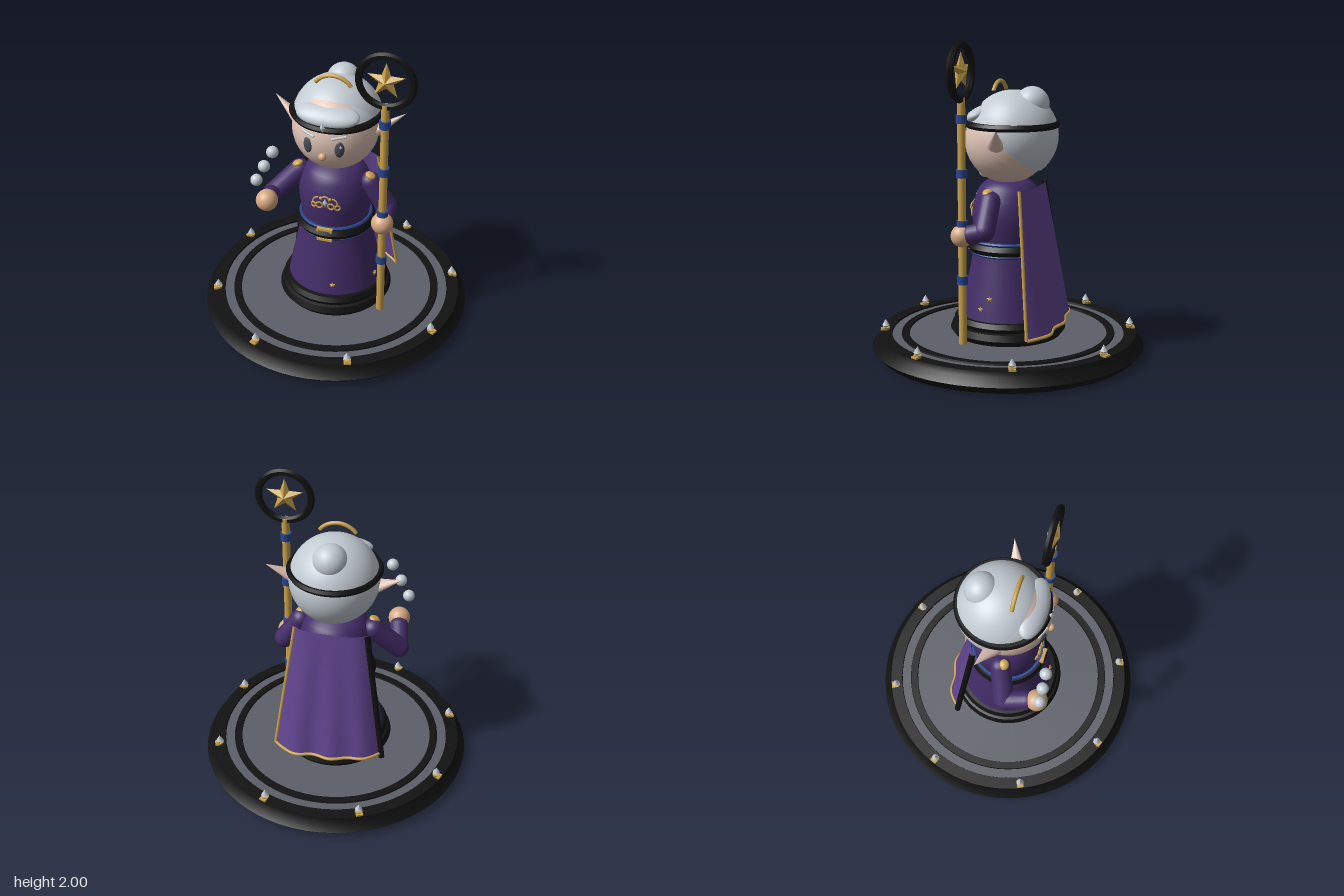
import * as THREE from 'three';
import { toCreasedNormals } from 'three/addons/utils/BufferGeometryUtils.js';

const mat = (name, color, side = THREE.FrontSide) => {
  const m = new THREE.MeshStandardMaterial({ color, side });
  m.name = name;
  return m;
};
const V = (x, y, z) => new THREE.Vector3(x, y, z);

export function createModel() {
  const M = {
    black: mat('black trim', 0x111111),
    stone: mat('stone grey', 0x5c5f68),
    robe: mat('robe purple', 0x432d68),
    cape: mat('cape purple', 0x61458f, THREE.DoubleSide),
    gold: mat('gold', 0xcaa24a),
    silver: mat('silver', 0xc3cbd3),
    skin: mat('skin', 0xe0c3b5),
    tan: mat('hand tan', 0xd6a982),
    blue: mat('blue', 0x2a4690),
    eye: mat('eye grey', 0x4a4d55),
  };
  const root = new THREE.Group();
  const add = (name, geo, m, x = 0, y = 0, z = 0, parent = root) => {
    const mesh = new THREE.Mesh(geo, m);
    mesh.name = name;
    mesh.position.set(x, y, z);
    parent.add(mesh);
    return mesh;
  };
  const ball = (name, r, m, x, y, z, sx = 1, sy = 1, sz = 1) => {
    const b = add(name, new THREE.SphereGeometry(r, 32, 20), m, x, y, z);
    b.scale.set(sx, sy, sz);
    return b;
  };
  const lathe = (name, pts, m, crease = 0.5) => add(name, toCreasedNormals(
    new THREE.LatheGeometry(pts.map(p => new THREE.Vector2(...p)), 64), crease), m);
  // six-sided ring lying flat
  const hoop = (name, r, t, m, y, z = 0, sy = 1) => {
    const h = add(name, toCreasedNormals(new THREE.TorusGeometry(r, t, 6, 64), 0.6), m, 0, y, z);
    h.rotation.x = Math.PI / 2;
    h.scale.z = sy;
    return h;
  };
  // capsule between two points
  const limb = (name, a, b, r, m) => {
    const d = b.clone().sub(a);
    const c = add(name, new THREE.CapsuleGeometry(r, d.length(), 8, 20), m);
    c.position.copy(a).add(b).multiplyScalar(0.5);
    c.quaternion.setFromUnitVectors(V(0, 1, 0), d.normalize());
    return c;
  };
  // faceted star: a rim of ten points joined to a front and a back peak
  const starGeo = (R, r, depth) => {
    const pos = [];
    const p = i => {
      const a = Math.PI / 2 + i * Math.PI / 5, q = i % 2 ? r : R;
      return [Math.cos(a) * q, Math.sin(a) * q, 0];
    };
    for (let i = 0; i < 10; i++) {
      pos.push(...p(i), ...p(i + 1), 0, 0, depth);
      pos.push(...p(i + 1), ...p(i), 0, 0, -depth);
    }
    const g = new THREE.BufferGeometry();
    g.setAttribute('position', new THREE.Float32BufferAttribute(pos, 3));
    g.computeVertexNormals();
    return g;
  };
  const gemGeo = new THREE.OctahedronGeometry(1);

  // plinth
  add('plinthCore', new THREE.CylinderGeometry(0.825, 0.83, 0.118, 64), M.stone, 0, 0.059, 0);
  lathe('plinthRim', [[0.83, 0], [0.875, 0.05], [0.832, 0.1], [0.825, 0.13], [0.75, 0.13], [0.745, 0.112]], M.black);
  lathe('plinthInnerRing', [[0.69, 0.112], [0.685, 0.128], [0.64, 0.128], [0.635, 0.112]], M.black);

  // eight gems around the rim
  for (let i = 0; i < 8; i++) {
    const g = new THREE.Group();
    g.name = 'rimGem';
    g.rotation.y = Math.PI / 8 + i * Math.PI / 4;
    root.add(g);
    add('gemCup', new THREE.CylinderGeometry(0.026, 0.02, 0.02, 8), M.gold, 0, 0.138, 0.79, g);
    add('gemLip', new THREE.BoxGeometry(0.045, 0.02, 0.025), M.gold, 0, 0.132, 0.81, g);
    add('gemLower', new THREE.ConeGeometry(0.025, 0.022, 6).rotateX(Math.PI), M.silver, 0, 0.15, 0.79, g);
    add('gemUpper', new THREE.ConeGeometry(0.025, 0.042, 6), M.silver, 0, 0.182, 0.79, g);
  }

  // robe
  lathe('hem', [[0.34, 0.115], [0.37, 0.155], [0.355, 0.195], [0.335, 0.2], [0.345, 0.225], [0.328, 0.255], [0.29, 0.258]], M.black);
  lathe('skirt', [[0.312, 0.245], [0.285, 0.38], [0.248, 0.55], [0.222, 0.68], [0.215, 0.73]], M.robe, 1).scale.z = 0.97;
  const torso = [[0.212, 0.7], [0.22, 0.76], [0.233, 0.83], [0.237, 0.9], [0.228, 0.97], [0.208, 1.03], [0.18, 1.08], [0.14, 1.11], [0, 1.12]];
  lathe('torso', torso, M.robe, 1.2).scale.z = 0.95;
  hoop('belt', 0.227, 0.035, M.black, 0.695);
  hoop('beltUpperCord', 0.226, 0.011, M.blue, 0.733);
  hoop('beltLowerCord', 0.231, 0.011, M.blue, 0.657);
  for (const y of [0.733, 0.657]) add('buckleBar', new THREE.BoxGeometry(0.1, 0.016, 0.03), M.gold, 0, y, 0.238);
  for (const x of [-0.045, 0.045]) add('buckleSide', new THREE.BoxGeometry(0.012, 0.02, 0.03), M.gold, x, 0.728, 0.24);

  // small stars on the skirt
  for (const [x, y, z] of [[0.065, 0.33, 0.283], [0.287, 0.33, 0.075], [0.285, 0.4, 0.015]]) {
    add('skirtStar', starGeo(0.022, 0.011, 0.012), M.gold, x, y, z).rotation.y = Math.atan2(x, z);
  }

  // chest brooch
  const arc = (r, a) => new THREE.TorusGeometry(r, 0.006, 6, 20, a);
  for (const s of [-1, 1]) {
    add('broochCurl', arc(0.02, Math.PI * 2), M.gold, s * 0.038, 0.905, 0.226);
    const outer = add('broochCurl', arc(0.016, Math.PI * 2), M.gold, s * 0.078, 0.897, 0.216);
    outer.rotation.y = s * 0.35;
    const sweep = add('broochSweep', arc(0.035, Math.PI / 2), M.gold, s * 0.045, 0.925, 0.222);
    sweep.rotation.y = s < 0 ? Math.PI : 0;
    ball('broochBead', 0.01, M.gold, s * 0.03, 0.955, 0.222);
  }
  add('broochArch', arc(0.026, Math.PI), M.gold, 0, 0.945, 0.225);
  add('broochGem', gemGeo, M.silver, 0, 0.925, 0.228).scale.set(0.016, 0.035, 0.014);

  // arms and hands
  const arms = [
    ['right', V(-0.235, 1.01, 0.02), V(-0.395, 0.835, 0.09), V(-0.37, 0.9, 0.23), V(-0.36, 0.92, 0.295)],
    ['left', V(0.235, 1.01, 0.03), V(0.345, 0.845, 0.025), V(0.352, 0.82, 0.11), V(0.355, 0.808, 0.168)],
  ];
  for (const [side, shoulder, elbow, wrist, hand] of arms) {
    limb(side + 'UpperArm', shoulder, elbow, 0.066, M.robe);
    limb(side + 'Forearm', elbow, wrist, 0.06, M.robe);
    ball(side + 'Hand', 0.07, M.tan, hand.x, hand.y, hand.z);
    const s = Math.sign(hand.x);
    ball(side + 'ShoulderClasp', 0.035, M.gold, s * 0.24, 1.065, 0.045, 1, 0.55, 0.9).rotation.z = -s * 0.4;
  }

  // head
  ball('head', 0.272, M.skin, 0, 1.367, 0);
  ball('nose', 0.025, M.tan, 0, 1.295, 0.272);
  for (const s of [-1, 1]) {
    ball('eye', 0.03, M.eye, s * 0.1, 1.35, 0.247, 1, 1.8, 0.5).rotation.y = s * 0.38;
    ball('eyeGlint', 0.008, M.silver, s * 0.1 + 0.01, 1.372, 0.258, 1, 1.2, 0.5);
    limb('brow', V(s * 0.06, 1.424, 0.262), V(s * 0.135, 1.436, 0.232), 0.008, M.silver);
    const ear = add('ear', new THREE.ConeGeometry(0.058, 0.25, 20), M.skin, s * 0.325, 1.408, -0.045);
    ear.quaternion.setFromUnitVectors(V(0, 1, 0), V(s * 0.205, 0.135, -0.08).normalize());
    ear.scale.z = 1.15;
    ear.scale.x = 0.75;
  }

  // hair: crown above the band, tilted half shell behind, fringe and bun
  add('hairCrown', new THREE.SphereGeometry(0.281, 48, 20, 0, Math.PI * 2, 0, 1.38), M.silver, 0, 1.41, -0.035).scale.y = 0.83;
  add('hairBack', new THREE.SphereGeometry(0.283, 48, 24, 0, Math.PI * 2, 0, Math.PI / 2), M.silver, 0, 1.4, -0.037).rotation.x = -0.86;
  ball('fringe', 0.2, M.silver, 0, 1.525, 0.16, 1, 0.27, 0.46).rotation.x = 0.4;
  ball('bun', 0.108, M.silver, 0, 1.6, -0.16);
  hoop('headBand', 0.275, 0.023, M.black, 1.47, -0.03);
  add('browGem', gemGeo, M.silver, 0, 1.495, 0.268).scale.set(0.017, 0.035, 0.015);

  // halo arc
  const half = 0.95;
  const halo = add('haloArc', new THREE.TorusGeometry(0.137, 0.013, 8, 24, half * 2), M.gold, 0, 1.598, 0.055);
  halo.rotation.z = Math.PI / 2 - half;

  // floating orbs
  for (const [x, y] of [[-0.3, 1.305], [-0.358, 1.192], [-0.412, 1.08]]) ball('orb', 0.038, M.silver, x, y, 0.325);

  // staff
  const sx = 0.355, sz = 0.167;
  add('staffShaft', new THREE.CylinderGeometry(0.025, 0.025, 1.54, 20), M.gold, sx, 0.89, sz);
  for (const y of [0.53, 0.88, 1.197, 1.53]) {
    add('staffBand', new THREE.CylinderGeometry(0.035, 0.035, 0.052, 20), M.blue, sx, y, sz);
  }
  add('staffRing', toCreasedNormals(new THREE.TorusGeometry(0.165, 0.023, 6, 48), 0.6), M.black, sx, 1.812, sz);
  add('staffStar', starGeo(0.12, 0.048, 0.04), M.gold, sx, 1.815, sz);

  // cape: u runs across from -1 to 1, v from the shoulders down
  const mix = THREE.MathUtils.lerp;
  const capeAt = (u, v) => V(
    u * mix(0.23, 0.355, v),
    mix(1.085, 0.2, v) - 0.02 * v * u,
    mix(-0.16, -0.255, v) - mix(0.045, 0.1, v) * (1 - u ** 4) - 0.015 * v * Math.cos(u * 9 + 0.9) * (1 - u * u));
  const capeGeo = new THREE.PlaneGeometry(2, 1, 40, 20);
  const cp = capeGeo.attributes.position;
  for (let i = 0; i < cp.count; i++) {
    const p = capeAt(cp.getX(i), 0.5 - cp.getY(i));
    cp.setXYZ(i, p.x, p.y, p.z);
  }
  capeGeo.computeVertexNormals();
  add('cape', capeGeo, M.cape);
  const trim = (name, f, r, m) => {
    const pts = Array.from({ length: 25 }, (_, i) => f(i / 24));
    add(name, new THREE.TubeGeometry(new THREE.CatmullRomCurve3(pts), 48, r, 8), m);
  };
  trim('capeBlackEdge', t => capeAt(-1, t * 1.04), 0.02, M.black);
  trim('capeGoldEdge', t => capeAt(1, t), 0.011, M.gold);
  trim('capeGoldHem', t => capeAt(t * 2 - 1, 1), 0.011, M.gold);

  return root;
}
